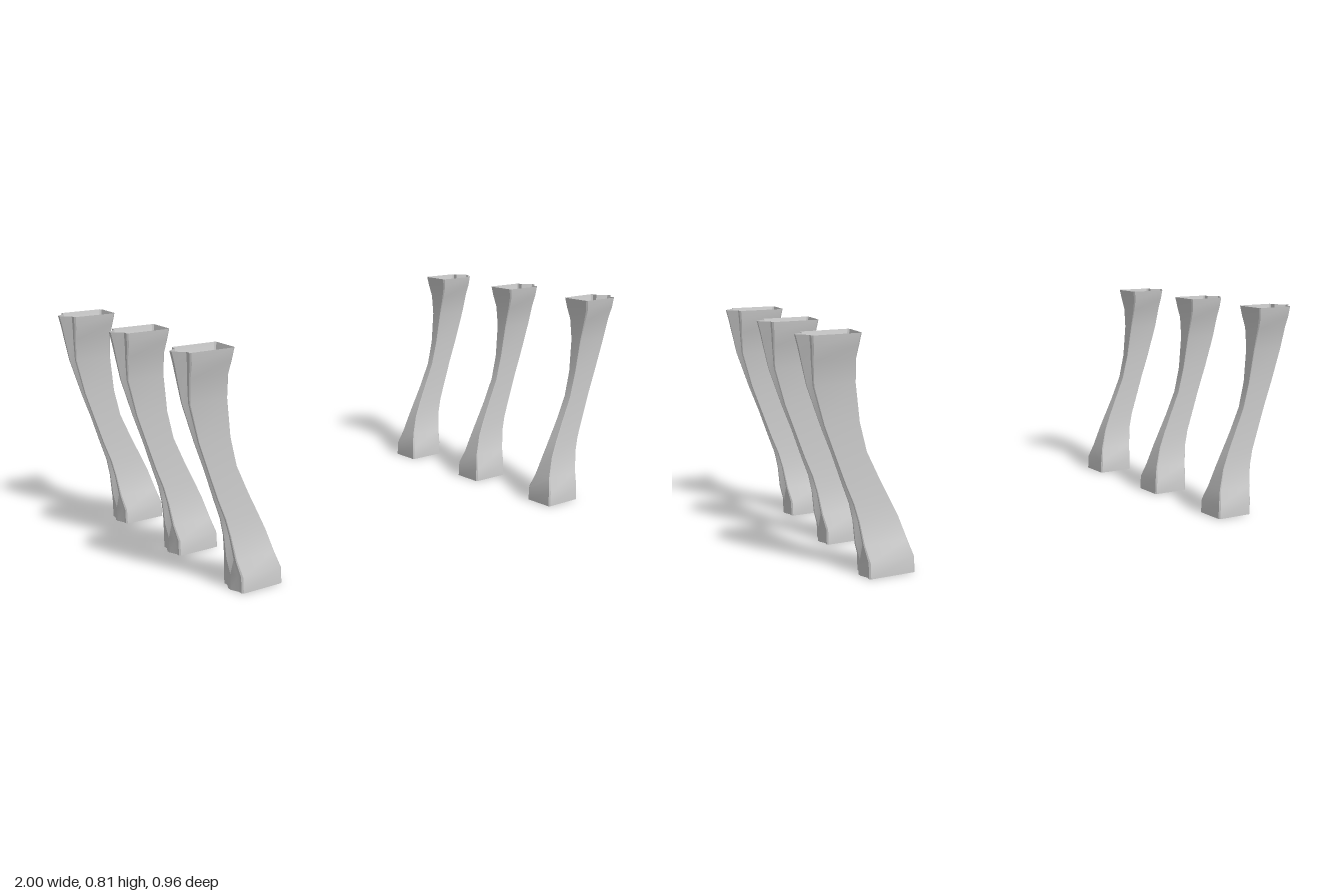
import * as THREE from 'three';
import { toCreasedNormals } from 'three/addons/utils/BufferGeometryUtils.js';

// Leg stations: height, inner x, outer corner x, outer ridge x, half depth
const STATIONS = [
  [0, 0.635, 0.797, 0.81, 0.06],
  [0.055, 0.636, 0.797, 0.81, 0.059],
  [0.11, 0.652, 0.806, 0.822, 0.04],
  [0.19, 0.677, 0.816, 0.828, 0.026],
  [0.25, 0.703, 0.83, 0.839, 0.021],
  [0.32, 0.735, 0.855, 0.862, 0.017],
  [0.42, 0.778, 0.887, 0.893, 0.0155],
  [0.52, 0.8, 0.92, 0.928, 0.017],
  [0.65, 0.813, 0.953, 0.968, 0.025],
  [0.73, 0.815, 0.959, 0.983, 0.04],
  [0.775, 0.808, 0.962, 0.991, 0.054],
  [0.815, 0.8, 0.965, 1.0, 0.06],
];

// Horizontal section: slab with small chamfers and a ridge on its outer face
function section([y, inner, outer, ridge, h]) {
  const c = h * 0.09;
  const half = [
    [inner, h - c], [inner + c, h], [outer - c, h],
    [outer, h - c], [outer, h * 0.6], [ridge, h * 0.12],
  ];
  const back = half.map(([x, z]) => [x, y, -z]);
  const front = half.map(([x, z]) => [x, y, z]).reverse();
  return [...back, ...front];
}

// Open tube lofted through the sections, relative to its outermost point
function legGeometry() {
  const rings = STATIONS.map(section);
  const n = rings[0].length;
  const index = [];
  for (let r = 0; r < rings.length - 1; r++) {
    for (let i = 0; i < n; i++) {
      const a = r * n + i, b = r * n + (i + 1) % n;
      index.push(a, a + n, b, b, a + n, b + n);
    }
  }
  const geometry = new THREE.BufferGeometry();
  geometry.setAttribute('position', new THREE.Float32BufferAttribute(rings.flat(2), 3));
  geometry.setIndex(index);
  geometry.translate(-1, 0, 0);
  return toCreasedNormals(geometry, 0.6);
}

export function createModel() {
  const model = new THREE.Group();
  model.name = 'legs';
  const material = new THREE.MeshStandardMaterial({ color: 0xcccccc, side: THREE.DoubleSide });
  const geometry = legGeometry();
  const rows = { front: 0.42, middle: 0, back: -0.42 };

  // Three legs per side; the right ones are turned round and slightly slimmer
  for (const [row, z] of Object.entries(rows)) {
    for (const side of [1, -1]) {
      const leg = new THREE.Mesh(geometry, material);
      leg.name = row + (side > 0 ? 'LeftLeg' : 'RightLeg');
      leg.position.set(side, 0, z);
      if (side < 0) {
        leg.rotation.y = Math.PI;
        leg.scale.x = 0.957;
      }
      model.add(leg);
    }
  }
  return model;
}
